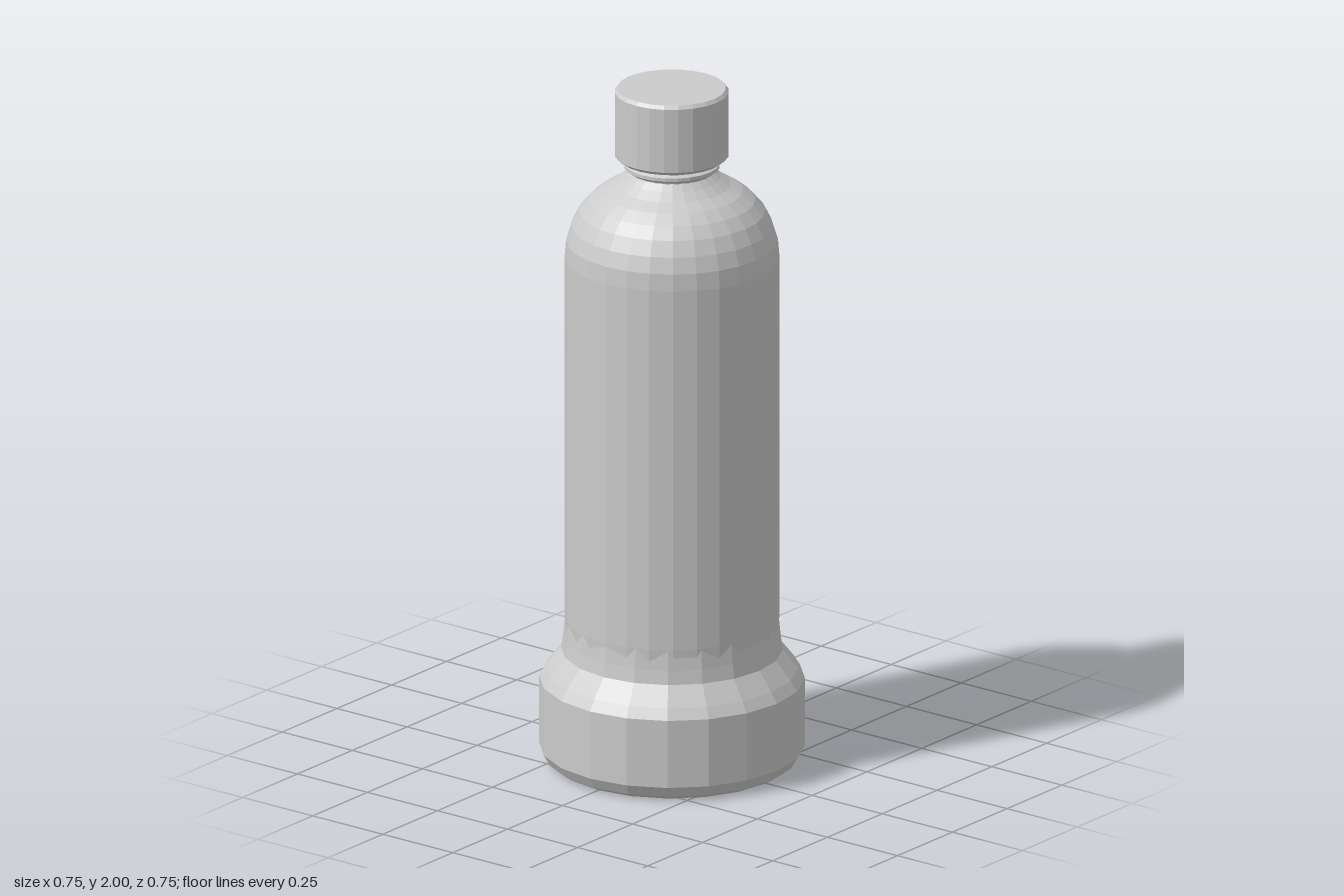
import * as THREE from 'three';

const material = new THREE.MeshStandardMaterial({ color: 0xcccccc, flatShading: true });

// Turned part from [radius, height] pairs, listed bottom to top
function turned(name, sides, profile) {
  const points = profile.map(([r, y]) => new THREE.Vector2(r, y));
  const mesh = new THREE.Mesh(new THREE.LatheGeometry(points, sides), material);
  mesh.name = name;
  return mesh;
}

export function createModel() {
  const bottle = new THREE.Group();
  bottle.name = 'bottle';

  // Wide foot with a bevelled lower edge, tapering up to the body
  const base = turned('base', 20, [
    [0, 0], [0.335, 0], [0.355, 0.012], [0.374, 0.045], [0.374, 0.245],
    [0.355, 0.275], [0.312, 0.33], [0.306, 0.37], [0.3, 0.43],
  ]);

  // Straight body and rounded shoulder
  const body = turned('body', 28, [
    [0.298, 0.36], [0.302, 0.43], [0.302, 1.5], [0.298, 1.55], [0.284, 1.595],
    [0.262, 1.637], [0.234, 1.67], [0.2, 1.697], [0.165, 1.717], [0.138, 1.738], [0.118, 1.757],
  ]);

  // Neck with a thin collar ring below the cap
  const neck = turned('neck', 24, [
    [0.118, 1.745], [0.12, 1.758], [0.135, 1.768], [0.135, 1.778], [0.122, 1.785], [0.122, 1.8],
  ]);

  // Screw cap, set very slightly off the axis
  const cap = turned('cap', 24, [
    [0, 1.79], [0.146, 1.79], [0.161, 1.802], [0.161, 1.99], [0.153, 2], [0, 2],
  ]);
  cap.position.set(0.004, 0, -0.004);

  bottle.add(base, body, neck, cap);
  return bottle;
}
